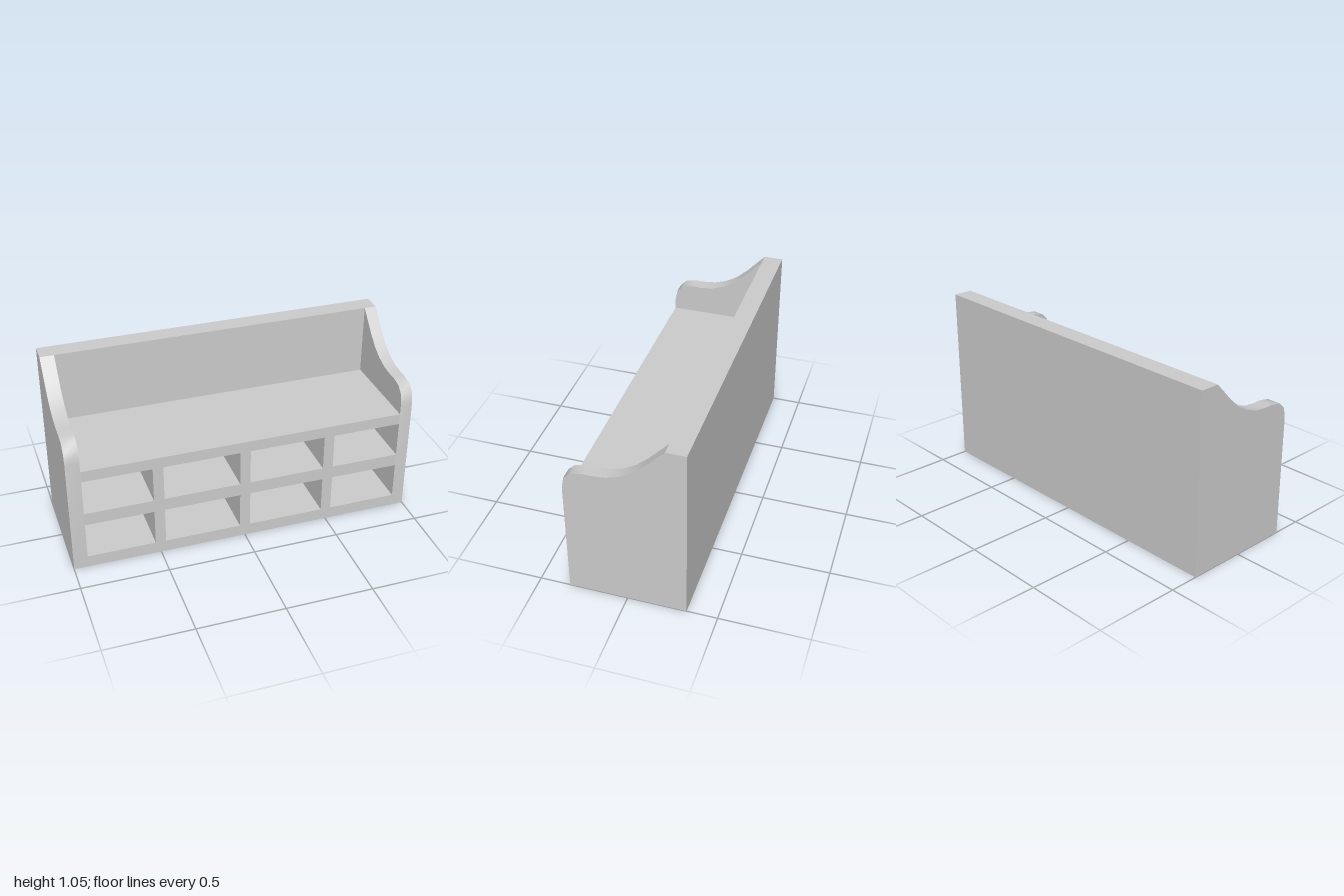
import * as THREE from 'three';
import { toCreasedNormals } from 'three/addons/utils/BufferGeometryUtils.js';

const material = new THREE.MeshStandardMaterial({ color: 0xcccccc });

// Inner faces of the side panels, and depth limits
const X0 = -0.92, X1 = 0.93, FRONT = 0.33, BACK = -0.33, WALL = -0.22;

export function createModel() {
  const group = new THREE.Group();
  group.name = 'storageBench';

  const add = (name, geometry) => {
    const mesh = new THREE.Mesh(geometry, material);
    mesh.name = name;
    group.add(mesh);
  };

  // Box given by its limits on each axis
  const box = (name, x0, x1, y0, y1, z0, z1) => add(name,
    new THREE.BoxGeometry(x1 - x0, y1 - y0, z1 - z0)
      .translate((x0 + x1) / 2, (y0 + y1) / 2, (z0 + z1) / 2));

  // Side panels: (z, y) profile with a swooping armrest, extruded along x
  const profile = [
    [BACK, 0], [FRONT, 0], [FRONT, 0.695], [0.318, 0.76], [0.28, 0.798],
    [0.215, 0.81], [0.16, 0.81], [0.09, 0.817], [0.015, 0.842],
    [-0.05, 0.88], [-0.115, 0.938], [WALL, 1.05], [BACK, 1.05],
  ];
  const shape = new THREE.Shape(profile.map(([z, y]) => new THREE.Vector2(z, y)));
  const sidePanel = (name, x0, x1) => {
    const geometry = new THREE.ExtrudeGeometry(shape, { depth: x1 - x0, bevelEnabled: false });
    geometry.rotateY(-Math.PI / 2).translate(x1, 0, 0);
    add(name, toCreasedNormals(geometry, 0.7));
  };
  sidePanel('rightSide', -1, X0);
  sidePanel('leftSide', X1, 1);

  // Backrest, closing the cubbies behind
  box('backPanel', X0, X1, 0, 1.05, BACK, WALL);

  // Horizontal boards
  box('base', X0, X1, 0, 0.07, WALL, FRONT);
  box('middleShelf', X0, X1, 0.285, 0.36, WALL, FRONT);
  box('seat', X0, X1, 0.57, 0.635, WALL, FRONT);

  // Dividers between the cubbies in both rows
  for (const [y0, y1] of [[0.07, 0.285], [0.36, 0.57]]) {
    for (const x of [-0.5, 0, 0.5]) {
      box('cubbyDivider', x - 0.03, x + 0.03, y0, y1, WALL, FRONT);
    }
  }

  return group;
}
